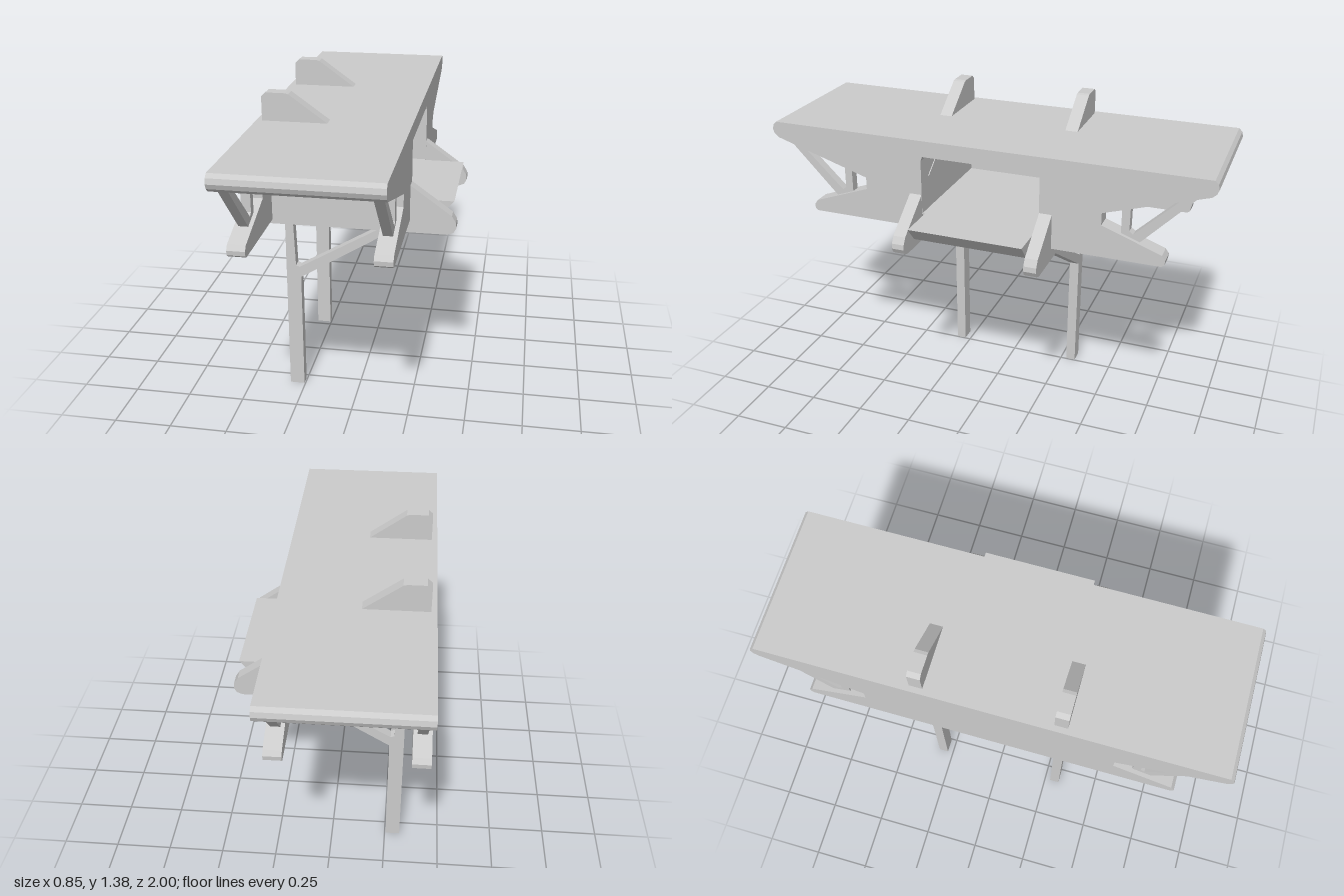
import * as THREE from 'three';

const grey = new THREE.MeshStandardMaterial({ color: 0xcccccc });

function shapeOf(points) {
  return new THREE.Shape(points.map(([a, b]) => new THREE.Vector2(a, b)));
}

function extrude(points, depth) {
  return new THREE.ExtrudeGeometry(shapeOf(points), { depth, bevelEnabled: false });
}

// Profile given in (x, y), filling z0..z1
function plateXY(name, points, z0, z1) {
  const mesh = new THREE.Mesh(extrude(points, z1 - z0).translate(0, 0, z0), grey);
  mesh.name = name;
  return mesh;
}

// Profile given in (z, y), filling x0..x1
function plateZY(name, points, x0, x1) {
  const geometry = extrude(points, x1 - x0).rotateY(-Math.PI / 2).translate(x1, 0, 0);
  const mesh = new THREE.Mesh(geometry, grey);
  mesh.name = name;
  return mesh;
}

// Mirrors a half outline across z = 0
const mirrored = (half) => [...half, ...half.map(([z, y]) => [-z, y]).reverse()];

export function createModel() {
  const group = new THREE.Group();
  const bottom = 0.855;

  // Top slab with softened ends
  const tip = [[0.975, 1.19], [0.992, 1.205], [1, 1.225], [0.995, 1.247], [0.98, 1.262]];
  group.add(plateZY('topSlab', mirrored(tip), -0.425, 0.225));

  // Side panels with a V-shaped notch at each end
  const endOutline = [
    [0.8, bottom], [0.813, 0.865], [0.815, 0.885], [0.8, 0.906],
    [0.54, 1.0], [0.54, 1.055], ...tip,
  ];
  const opening = [[0.27, bottom], [0.27, 1.17], [0.262, 1.19], [0.24, 1.2]];
  group.add(plateZY('plainSidePanel', mirrored(endOutline), -0.425, -0.35));
  group.add(plateZY('openSidePanel',
    [...endOutline, ...endOutline.map(([z, y]) => [-z, y]).reverse(),
      ...opening.map(([z, y]) => [-z, y]), ...opening.slice().reverse()],
    0.15, 0.225));

  // Inner walls either side of the central recess
  for (const s of [1, -1]) {
    const wall = new THREE.Mesh(new THREE.BoxGeometry(0.52, 0.345, 0.135), grey);
    wall.name = 'innerWall';
    wall.position.set(-0.1, bottom + 0.1725, s * 0.3425);
    group.add(wall);
  }

  // Recess floor, and the tray that projects from it with a slanted lip
  group.add(plateXY('recessFloor',
    [[-0.36, bottom], [0.222, bottom], [0.222, 0.924], [-0.36, 0.924]], -0.272, 0.272));
  group.add(plateXY('tray',
    [[0.1, bottom], [0.345, bottom], [0.405, 0.925], [0.1, 0.925]], -0.257, 0.257));

  // Support plates running through the body, forming top fins and tray brackets
  const support = [
    [-0.39, 0.8], [0.385, 0.8], [0.41, 0.81], [0.422, 0.832], [0.42, 0.855], [0.402, 0.885],
    [-0.285, 1.378], [-0.3, 1.382], [-0.38, 1.382], [-0.4, 1.365], [-0.4, 0.815],
  ];

  // Legs with a diagonal brace in one piece
  const leg = [
    [-0.32, 0], [-0.255, 0], [-0.255, 0.548], [0.155, 0.802], [0.09, 0.802],
    [-0.26, 0.597], [-0.277, 0.603], [-0.284, 0.802], [-0.32, 0.802],
  ];
  for (const s of [1, -1]) {
    const z = s * 0.299;
    group.add(plateXY('supportPlate', support, z - 0.028, z + 0.028));
    group.add(plateXY('bracedLeg', leg, z - 0.022, z + 0.022));
  }

  // Struts filling the notches: a diagonal and a short post
  const strut = [
    [0.72, 0.925], [0.7, 0.94], [0.94, 1.19], [0.87, 1.165], [0.672, 0.972],
    [0.655, 0.985], [0.655, 1.095], [0.62, 1.085], [0.62, 0.96],
  ];
  for (const s of [1, -1]) {
    const points = strut.map(([z, y]) => [s * z, y]);
    group.add(plateZY('notchStrut', points, -0.407, -0.367));
    group.add(plateZY('notchStrut', points, 0.167, 0.207));
  }

  return group;
}
